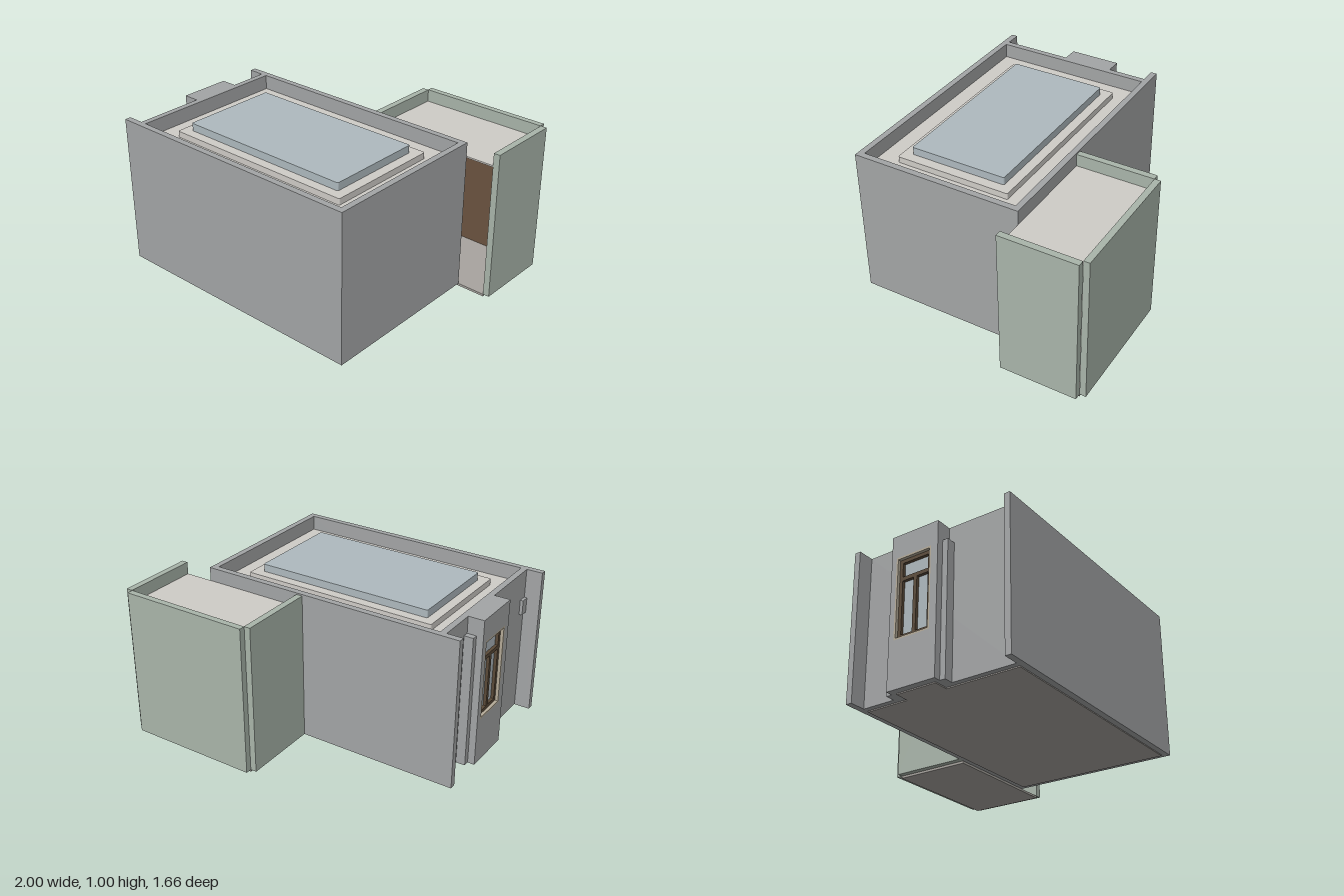
import * as THREE from 'three';

const mat = (color) => new THREE.MeshStandardMaterial({ color });
const WALL = mat(0xa3a5a6), GREEN = mat(0xa9b5aa), ROOF = mat(0xcfccc7), GLASS = mat(0xaeb9be);
const FLOOR = mat(0xa8a49f), WOOD = mat(0x6b5340), FRAME = mat(0x5a4a38), TRIM = mat(0xb5ab98);

function add(parent, name, geometry, material) {
  const mesh = new THREE.Mesh(geometry, material);
  mesh.name = name;
  parent.add(mesh);
  return mesh;
}

// Box given by its limits on each axis
function box(parent, name, material, [x0, x1], [y0, y1], [z0, z1]) {
  const mesh = add(parent, name, new THREE.BoxGeometry(x1 - x0, y1 - y0, z1 - z0), material);
  mesh.position.set((x0 + x1) / 2, (y0 + y1) / 2, (z0 + z1) / 2);
  return mesh;
}

// Closed outline from corner points
const outline = (points) => new THREE.Shape(points.map(([a, b]) => new THREE.Vector2(a, b)));
const rect = (a0, a1, b0, b1) => outline([[a0, b0], [a1, b0], [a1, b1], [a0, b1]]);

function roundedRect(x0, x1, z0, z1, r) {
  const s = new THREE.Shape();
  s.absarc(x1 - r, z1 - r, r, 0, Math.PI / 2);
  s.absarc(x0 + r, z1 - r, r, Math.PI / 2, Math.PI);
  s.absarc(x0 + r, z0 + r, r, Math.PI, Math.PI * 1.5);
  s.absarc(x1 - r, z0 + r, r, Math.PI * 1.5, Math.PI * 2);
  return s;
}

// Floor plan in x and z, raised between two heights
function plan(parent, name, material, shape, y0, y1) {
  const g = new THREE.ExtrudeGeometry(shape, { depth: y1 - y0, bevelEnabled: false, curveSegments: 4 });
  g.rotateX(Math.PI / 2).translate(0, y1, 0);
  return add(parent, name, g, material);
}

// Elevation in z and y, extended from x1 towards -x
function elevation(parent, name, material, shape, x1, depth) {
  const g = new THREE.ExtrudeGeometry(shape, { depth, bevelEnabled: false });
  g.rotateY(-Math.PI / 2).translate(x1, 0, 0);
  return add(parent, name, g, material);
}

function buildMainBlock() {
  const main = new THREE.Group();
  main.name = 'mainBlock';

  // Outer walls with the front and back walls running on as piers
  const walls = outline([
    [-1, -0.29], [0.77, -0.29], [0.77, 0.83], [-1, 0.83],
    [-1, 0.79], [-0.895, 0.79], [-0.895, -0.25], [-1, -0.25],
  ]);
  walls.holes.push(rect(-0.855, 0.73, -0.25, 0.79));
  plan(main, 'outerWalls', WALL, walls, 0.015, 1);

  // Floor, reaching into the bay
  box(main, 'floor', FLOOR, [-0.86, 0.73], [0.008, 0.03], [-0.25, 0.79]);
  box(main, 'bayFloor', FLOOR, [-0.955, -0.855], [0.008, 0.03], [0.04, 0.31]);

  // Roof with stepped skylight
  box(main, 'roof', ROOF, [-0.855, 0.73], [0.88, 0.905], [-0.25, 0.79]);
  plan(main, 'skylightBase', ROOF, roundedRect(-0.72, 0.595, -0.112, 0.652, 0.01), 0.9, 0.945);
  plan(main, 'skylight', GLASS, roundedRect(-0.66, 0.53, -0.05, 0.59, 0.01), 0.945, 0.995);
  return main;
}

function buildBay() {
  const bay = new THREE.Group();
  bay.name = 'windowBay';
  const [z0, z1, y0, y1] = [0.04, 0.29, 0.32, 0.85];

  const wall = rect(0.005, 0.338, 0.015, 1);
  wall.holes.push(rect(z0, z1, y0, y1));
  elevation(bay, 'bayWall', WALL, wall, -0.895, 0.105);

  // Pilasters on both sides
  for (const z of [-0.033, 0.335]) box(bay, 'pilaster', WALL, [-0.955, -0.895], [0.015, 0.89], [z, z + 0.04]);

  // Trim, frame, bars and glass
  const trim = rect(z0, z1, y0, y1);
  trim.holes.push(rect(z0 + 0.012, z1 - 0.012, y0 + 0.012, y1 - 0.012));
  elevation(bay, 'windowTrim', TRIM, trim, -0.95, 0.05);
  const frame = rect(z0 + 0.012, z1 - 0.012, y0 + 0.012, y1 - 0.012);
  frame.holes.push(rect(z0 + 0.034, z1 - 0.034, y0 + 0.034, y1 - 0.034));
  elevation(bay, 'windowFrame', FRAME, frame, -0.95, 0.03);
  box(bay, 'transom', FRAME, [-0.98, -0.95], [0.7, 0.725], [z0 + 0.03, z1 - 0.03]);
  box(bay, 'mullion', FRAME, [-0.98, -0.95], [y0 + 0.03, 0.7], [0.153, 0.177]);
  box(bay, 'windowGlass', GLASS, [-0.96, -0.95], [y0 + 0.01, y1 - 0.01], [z0 + 0.01, z1 - 0.01]);
  return bay;
}

function buildAnnex() {
  const annex = new THREE.Group();
  annex.name = 'annex';
  // Three walls with open corner notches
  box(annex, 'backWall', GREEN, [0.1, 0.955], [0.015, 0.99], [-0.835, -0.795]);
  for (const x of [0.06, 0.957]) box(annex, 'sideWall', GREEN, [x, x + 0.042], [0.015, 0.99], [-0.795, -0.29]);
  box(annex, 'annexFloor', FLOOR, [0.1, 0.957], [0, 0.015], [-0.795, -0.29]);
  box(annex, 'annexRoof', ROOF, [0.1, 0.957], [0.9, 0.91], [-0.795, -0.29]);
  // Wooden panel on the inside of the back wall
  box(annex, 'woodPanel', WOOD, [0.15, 0.72], [0.015, 0.9], [-0.797, -0.785]);
  return annex;
}

export function createModel() {
  const model = new THREE.Group();
  model.name = 'building';
  model.add(buildMainBlock(), buildBay(), buildAnnex());
  // Small box fixed to the side wall
  box(model, 'wallBox', WALL, [-0.915, -0.894], [0.71, 0.81], [0.73, 0.785]);
  return model;
}
